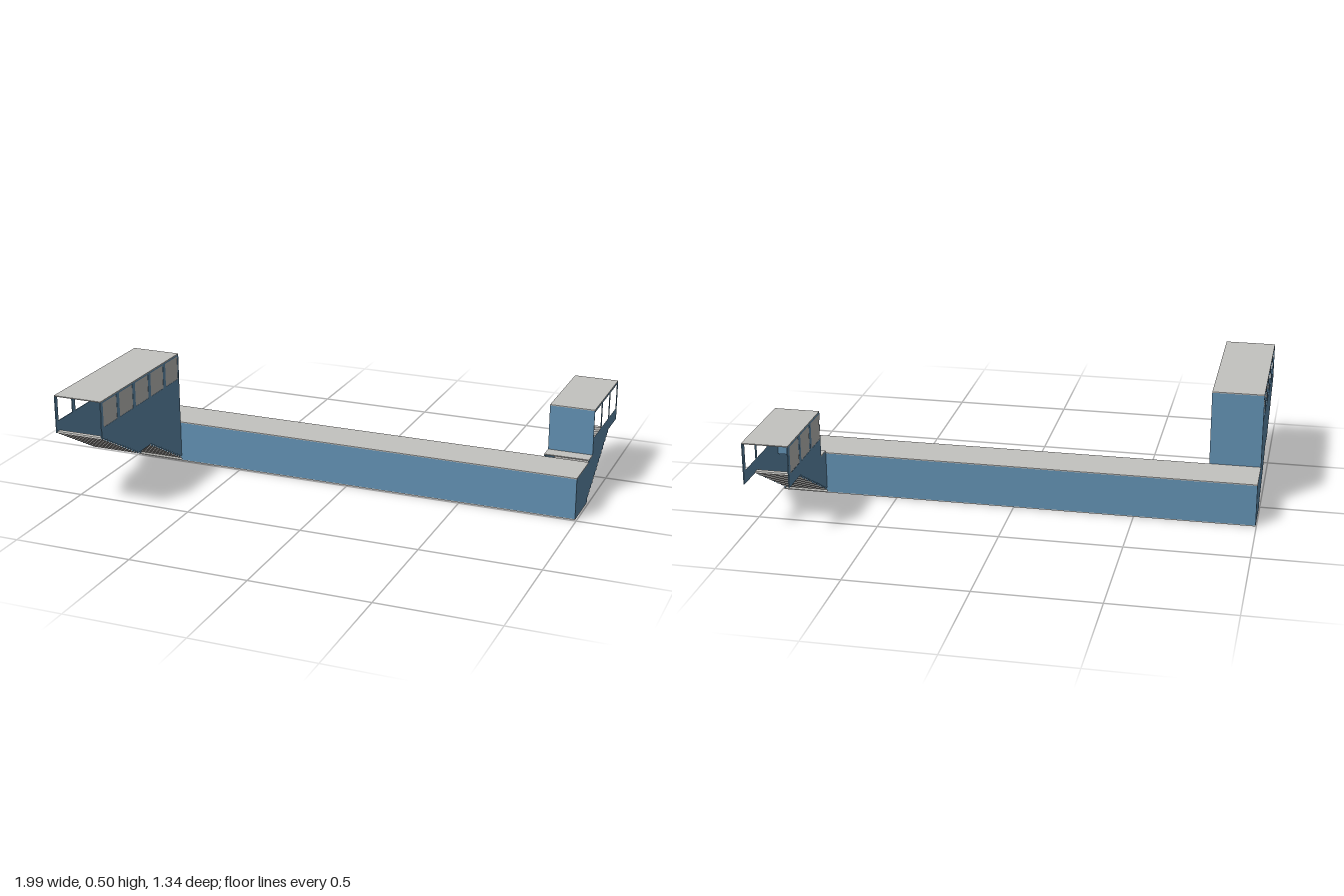
import * as THREE from 'three';

const blue = new THREE.MeshStandardMaterial({ color: 0x6290b2 });
blue.name = 'blue wall';
const grey = new THREE.MeshStandardMaterial({ color: 0xc4c3c0 });
grey.name = 'pale grey';

const T = 0.004; // sheet thickness
const XL = -0.997, XR = 0.993; // ends of the passage
const ZB = -0.2, ZF = -0.008; // back and front of the passage
const H = 0.181;

// Box given by its lower and upper corners
function box(name, mat, a, b) {
  const size = b.map((v, i) => v - a[i]);
  const mesh = new THREE.Mesh(new THREE.BoxGeometry(...size), mat);
  mesh.position.set(...a.map((v, i) => v + size[i] / 2));
  mesh.name = name;
  return mesh;
}

// Extrudes a (z, y) outline along x, from x0 to x1
function slab(name, mat, points, x0, x1, holes = []) {
  const shape = new THREE.Shape(points.map(p => new THREE.Vector2(...p)));
  for (const [z0, z1, y0, y1] of holes) {
    shape.holes.push(new THREE.Path(
      [[z0, y0], [z0, y1], [z1, y1], [z1, y0]].map(p => new THREE.Vector2(...p))));
  }
  const geo = new THREE.ExtrudeGeometry(shape, { depth: x1 - x0, bevelEnabled: false });
  geo.rotateY(-Math.PI / 2);
  const mesh = new THREE.Mesh(geo, mat);
  mesh.position.x = x1;
  mesh.name = name;
  return mesh;
}

// Zigzag of riser and tread between two points
function flight(z0, y0, z1, y1, n) {
  const pts = [[z0, y0]];
  for (let i = 1; i <= n; i++) {
    const y = y0 + (y1 - y0) * i / n;
    pts.push([z0 + (z1 - z0) * (i - 1) / n, y], [z0 + (z1 - z0) * i / n, y]);
  }
  return pts;
}

// Covered stair: side walls with windows, steps, roof and end wall
function stairway(name, o) {
  const g = new THREE.Group();
  g.name = name;
  const { x0, x1, steps, outline, windows, dir, top } = o;
  const wallWest = slab('sideWall', blue, outline, x0, x0 + T, windows);
  const wallEast = slab('sideWall', blue, outline, x1 - T, x1, windows);
  // Steps are a thin folded sheet
  const upper = steps.map(([z, y]) => [z - dir * 0.005, y + 0.005]).reverse();
  g.add(wallWest, wallEast, slab('steps', grey, [...steps, ...upper], x0 + T, x1 - T));
  g.add(box('roof', grey, [x0, top, o.roof[0]], [x1, top + T, o.roof[1]]));
  g.add(box('endWall', blue, [x0 + T, o.endBase, o.endZ], [x1 - T, top, o.endZ + T]));
  // Glazing in the wall facing the passage; the outer wall is open
  const px = o.paneX;
  for (const [z0, z1, y0, y1] of windows) {
    g.add(box('windowPane', grey, [px, y0, z0], [px + 0.002, y1, z1]));
  }
  return g;
}

function windowRow(start, n, y0, y1) {
  return Array.from({ length: n }, (_, i) => [start + i * 0.134, start + i * 0.134 + 0.112, y0, y1]);
}

export function createModel() {
  const model = new THREE.Group();
  model.name = 'pedestrianUnderpass';
  const fx = -0.785, bx = 0.803; // inner sides of the stairs

  // Passage
  const passage = new THREE.Group();
  passage.name = 'passage';
  passage.add(
    box('floor', grey, [XL, 0, ZB], [XR, T, ZF]),
    box('ceiling', grey, [XL, H - T, ZB], [XR, H, ZF]),
    box('frontWall', blue, [fx, T, ZF - T], [XR, H - T, ZF]),
    box('backWall', blue, [XL, T, ZB], [bx, H - T, ZB + T]),
    box('westEnd', blue, [XL, T, ZB], [XL + T, H - T, ZF]),
    box('eastEnd', blue, [XR - T, T, ZB], [XR, H - T, ZF]),
  );
  model.add(passage);

  // Front stair: two flights with a landing
  const frontSteps = [
    ...flight(ZF, 0.012, 0.28, 0.175, 14),
    ...flight(0.385, 0.175, 0.668, 0.335, 14),
  ];
  model.add(stairway('frontStair', {
    x0: XL, x1: fx, dir: 1, top: 0.491, steps: frontSteps,
    outline: [...frontSteps, [0.668, 0.491], [ZF, 0.491]],
    windows: windowRow(0.002, 5, 0.382, 0.485),
    roof: [ZF, 0.668], endZ: ZF, endBase: H, paneX: fx - 0.003,
  }));

  // Back stair: one flight, then open to the ground outside
  const backSteps = flight(ZB, 0.012, -0.545, 0.213, 17);
  model.add(stairway('backStair', {
    x0: bx, x1: XR, dir: -1, top: 0.384, steps: backSteps,
    outline: [...backSteps, [-0.668, 0.213], [-0.668, 0.384], [-0.261, 0.384], [-0.261, 0.187], [ZB, 0.187]],
    windows: windowRow(-0.645, 3, 0.267, 0.377),
    roof: [-0.668, -0.261], endZ: -0.265, endBase: 0.187, paneX: bx + 0.001,
  }));
  model.add(box('vestibuleRoof', grey, [bx, 0.187, -0.261], [XR, 0.187 + T, ZB]));

  return model;
}
